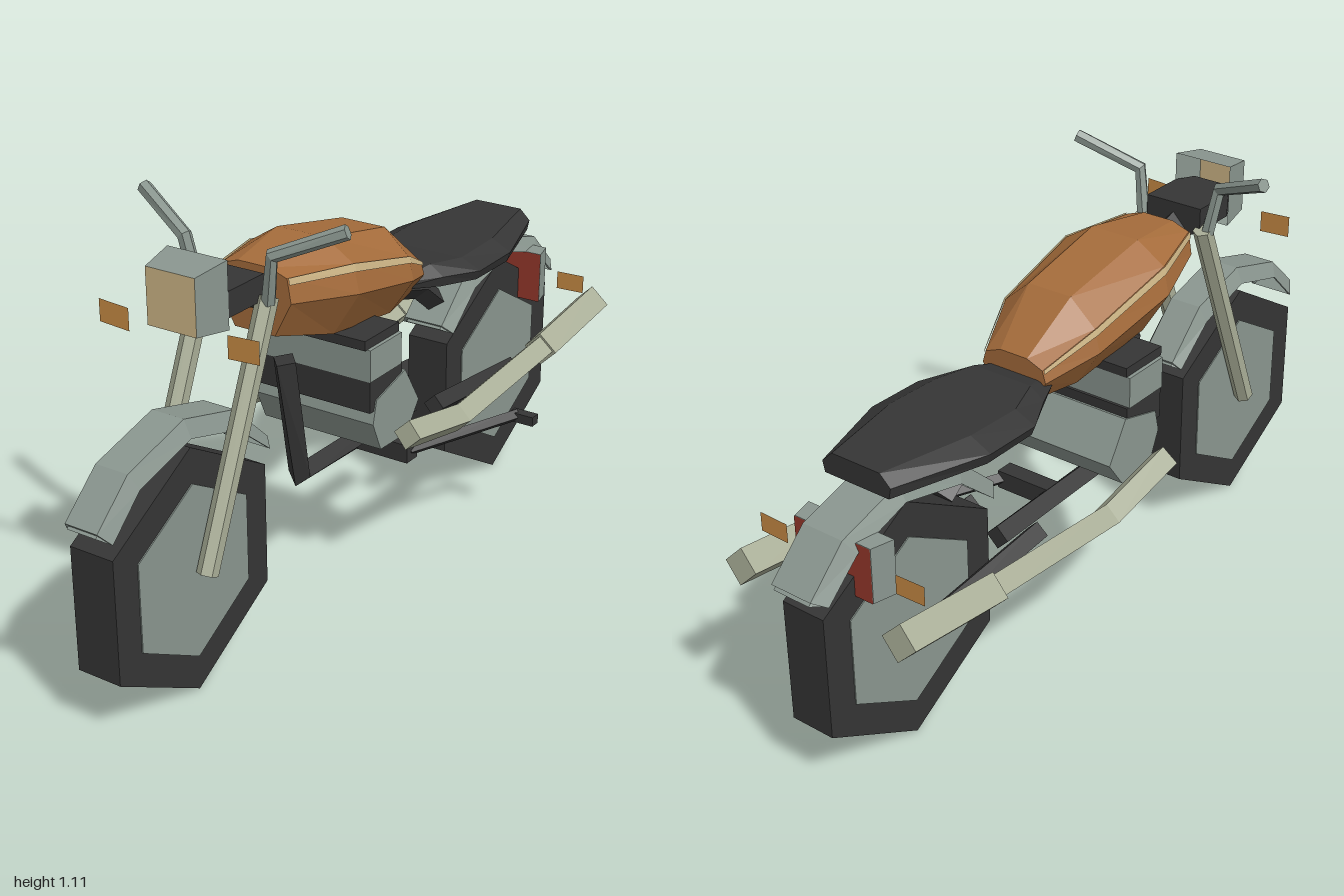
import * as THREE from 'three';

const mat = (name, color, side = THREE.FrontSide) => {
  const m = new THREE.MeshStandardMaterial({ color, side });
  m.name = name;
  return m;
};
const V = (x, y, z) => new THREE.Vector3(x, y, z);

// Faceted solid through a list of equal-length rings, with end caps, faces turned outward
function loft(rings) {
  const tris = [];
  const n = rings[0].length;
  for (let i = 0; i < rings.length - 1; i++) {
    for (let j = 0; j < n; j++) {
      const k = (j + 1) % n, a = rings[i], b = rings[i + 1];
      tris.push([a[j], a[k], b[k]], [a[j], b[k], b[j]]);
    }
  }
  // caps fanned as strips across the outline, so channel sections close correctly
  const last = rings[rings.length - 1];
  for (let lo = 0, hi = n - 1; hi - lo > 1;) {
    tris.push([rings[0][lo], rings[0][hi], rings[0][lo + 1]], [last[lo], last[lo + 1], last[hi]]);
    lo++;
    if (hi - lo > 1) {
      tris.push([rings[0][lo], rings[0][hi], rings[0][hi - 1]], [last[lo], last[hi - 1], last[hi]]);
      hi--;
    }
  }
  let volume = 0;
  for (const [a, b, c] of tris) volume += a.dot(V(0, 0, 0).crossVectors(b, c));
  const pos = [];
  for (const t of tris) for (const p of volume < 0 ? [t[0], t[2], t[1]] : t) pos.push(p.x, p.y, p.z);
  const g = new THREE.BufferGeometry();
  g.setAttribute('position', new THREE.Float32BufferAttribute(pos, 3));
  g.computeVertexNormals();
  return g;
}

// Bar with few sides along a path; side is an axis roughly across the path
function bar(points, radius, sides = 4, side = V(1, 0, 0)) {
  return loft(points.map((p, i) => {
    const t = points[Math.min(i + 1, points.length - 1)].clone().sub(points[Math.max(i - 1, 0)]).normalize();
    const u = V(0, 0, 0).crossVectors(t, side).normalize();
    const w = V(0, 0, 0).crossVectors(u, t);
    const r = Array.isArray(radius) ? radius[i] : radius;
    return Array.from({ length: sides }, (_, j) => {
      const a = (j / sides) * Math.PI * 2;
      return p.clone().addScaledVector(u, r * Math.cos(a)).addScaledVector(w, r * Math.sin(a));
    });
  }));
}

// Cross-section of half outline [x, y] mirrored about the centre plane
const section = (half, z) => [
  ...half.map(([x, y]) => V(x, y, z)),
  ...half.slice().reverse().map(([x, y]) => V(-x, y, z)),
];

// Flat quad faces from four corners each
function quads(list) {
  const g = new THREE.BufferGeometry();
  const pos = [];
  for (const [a, b, c, d] of list) for (const p of [a, b, c, a, c, d]) pos.push(p.x, p.y, p.z);
  g.setAttribute('position', new THREE.Float32BufferAttribute(pos, 3));
  g.computeVertexNormals();
  return g;
}

export function createModel() {
  const black = mat('black', 0x353535);
  const grey = mat('grey metal', 0x8a968f, THREE.DoubleSide);
  const pale = mat('pale metal', 0xa9ae97);
  const paint = mat('tank paint', 0xa56c3b);
  const tan = mat('tan', 0xd0b888, THREE.DoubleSide);
  const amber = mat('amber', 0xcb8d46, THREE.DoubleSide);
  const red = mat('red', 0x98382c);

  const model = new THREE.Group();
  model.name = 'motorcycle';
  model.position.x = -0.028;
  const add = (name, geometry, material, x = 0, y = 0, z = 0) => {
    const m = new THREE.Mesh(geometry, material);
    m.name = name;
    m.position.set(x, y, z);
    model.add(m);
    return m;
  };

  // Six-sided wheels with flush discs
  const hex = (r, w) => {
    const g = new THREE.CylinderGeometry(r, r, w, 6, 1, false, Math.PI / 2).rotateZ(Math.PI / 2).toNonIndexed();
    g.computeVertexNormals();
    return g;
  };
  for (const [name, z, r] of [['front', 0.695, 0.315], ['rear', -0.685, 0.322]]) {
    add(name + 'Tyre', hex(r, 0.12), black, 0, r, z);
    add(name + 'WheelDisc', hex(r * 0.715, 0.126), grey, 0, r, z);
  }

  // Fenders: bevelled strip, each row is outer z, y and inner z, y
  const fender = (rows, w, top) => loft(rows.map(([zo, yo, zi, yi]) => [
    V(-top, yo, zo), V(top, yo, zo), V(w, yi, zi),
    V(w * 0.9, yi, zi), V(top * 0.9, yo - 0.012, zo), V(-top * 0.9, yo - 0.012, zo),
    V(-w * 0.9, yi, zi), V(-w, yi, zi),
  ]));
  add('frontFender', fender([
    [0.995, 0.545, 0.968, 0.513], [0.888, 0.642, 0.872, 0.604], [0.695, 0.695, 0.695, 0.652],
    [0.513, 0.647, 0.524, 0.604], [0.39, 0.53, 0.406, 0.508]], 0.064, 0.045), grey);
  add('rearFender', fender([
    [-0.38, 0.545, -0.406, 0.519], [-0.503, 0.658, -0.519, 0.615], [-0.706, 0.7, -0.706, 0.66],
    [-0.888, 0.647, -0.866, 0.61], [-0.995, 0.545, -0.963, 0.524]], 0.08, 0.058), grey);

  // Fuel tank: z, top, shoulder, widest and bottom heights, half width
  const tankRows = [
    [0.37, 0.947, 0.93, 0.87, 0.78, 0.105], [0.18, 0.968, 0.918, 0.845, 0.727, 0.165],
    [-0.085, 0.914, 0.85, 0.79, 0.69, 0.15], [-0.225, 0.8, 0.782, 0.75, 0.69, 0.095]];
  add('fuelTank', loft(tankRows.map(([z, t, s, m, b, w]) =>
    section([[w * 0.42, t], [w * 0.9, s], [w, m], [w * 0.55, b]], z))), paint);
  const stripe = [];
  for (const s of [-1, 1]) {
    const edge = tankRows.map(([z, , y, m, , w]) => [
      V(s * (w * 0.9 + 0.004), y + 0.002, z),
      V(s * (w * 0.925 + 0.004), y + (m - y) * 0.25, z)]);
    for (let i = 0; i < 3; i++) stripe.push([edge[i][0], edge[i + 1][0], edge[i + 1][1], edge[i][1]]);
  }
  add('tankStripes', quads(stripe), tan);

  // Seat: z, top and bottom heights, top and bottom half widths
  add('seat', loft([
    [-0.15, 0.737, 0.725, 0.045, 0.07], [-0.27, 0.762, 0.708, 0.085, 0.125],
    [-0.37, 0.757, 0.706, 0.12, 0.177], [-0.53, 0.762, 0.706, 0.12, 0.177],
    [-0.775, 0.765, 0.708, 0.07, 0.1],
  ].map(([z, t, b, wt, wb]) => section([[wt, t], [wb, (t + b) / 2], [wb * 0.94, b]], z))), black);

  // Engine: stacked cylinder block over a six-sided crankcase
  add('cylinderCap', new THREE.BoxGeometry(0.33, 0.025, 0.15), black, 0, 0.703, 0.08);
  add('cylinderHead', new THREE.BoxGeometry(0.35, 0.084, 0.14), grey, 0, 0.649, 0.077);
  add('cylinderBase', new THREE.BoxGeometry(0.345, 0.085, 0.145), black, 0, 0.566, 0.072);
  const caseOutline = [[0.12, 0.55], [-0.01, 0.585], [-0.075, 0.48], [-0.02, 0.406], [0.1, 0.41], [0.135, 0.49]];
  add('crankcase', loft([-0.176, 0.176].map((x) => caseOutline.map(([z, y]) => V(x, y, z)))), grey);

  // Frame
  add('frameCradle', bar([V(0, 0.665, 0.255), V(0, 0.335, 0.2), V(0, 0.322, -0.3)], 0.033), black);
  add('seatTube', bar([V(0, 0.71, -0.16), V(0, 0.655, -0.35), V(0, 0.54, -0.5)], 0.033), black);
  add('steeringNeck', bar([V(0, 0.905, 0.46), V(0, 0.855, 0.3)], 0.036), black);

  // Headlight: open flared shell, lens and dark body behind it
  const rim = (w, y0, y1, z) => [V(-w, y0, z), V(w, y0, z), V(w, y1, z), V(-w, y1, z)];
  const front = rim(0.068, 0.883, 1.021, 0.668);
  const back = rim(0.083, 0.872, 1.036, 0.572);
  add('headlightShell', quads(front.map((p, i) => [back[i], back[(i + 1) % 4], front[(i + 1) % 4], p])), grey);
  add('headlightLens', quads([front]), tan);
  add('headlightBody', loft([[0.62, 0.055], [0.57, 0.082], [0.44, 0.082]].map(([z, w]) =>
    section([[w, 0.963], [w, 0.9], [w * 0.6, 0.882]], z))), black);

  // Stand lever on the left side
  add('leverPivot', new THREE.BoxGeometry(0.165, 0.05, 0.05), black, 0.08, 0.33, -0.07);
  add('leverRod', bar([V(0.15, 0.33, -0.07), V(0.285, 0.335, -0.4)], 0.017), black);
  add('leverFoot', new THREE.BoxGeometry(0.07, 0.026, 0.03), black, 0.305, 0.333, -0.4);

  // Tail bracket with red faces front and back
  const tail = (z, w) => [V(-w, 0.49, z), V(w, 0.49, z), V(w, 0.632, z), V(-w, 0.632, z)];
  add('tailBracket', loft([tail(-0.8, 0.127), tail(-0.86, 0.112)]), grey);
  add('tailLightBack', quads([tail(-0.862, 0.112).reverse()]), red);
  add('tailLightFront', quads([tail(-0.798, 0.127)]), red);

  // Paired parts
  for (const s of [-1, 1]) {
    const side = s > 0 ? 'left' : 'right';
    add(side + 'Fork', bar([V(s * 0.091, 0.91, 0.44), V(s * 0.091, 0.315, 0.69)], 0.026, 6), pale);
    add(side + 'Handlebar', bar([V(s * 0.1, 0.9, 0.45), V(s * 0.122, 1.02, 0.463), V(s * 0.284, 1.09, 0.405)],
      0.018, 6, V(0, 0, 1)), grey);
    add(side + 'Exhaust', bar([V(s * 0.237, 0.455, 0.075), V(s * 0.237, 0.406, -0.17), V(s * 0.237, 0.44, -0.61)],
      0.038), pale);
    add(side + 'Muffler', bar([V(s * 0.237, 0.438, -0.61), V(s * 0.237, 0.476, -0.92)], 0.048), pale);
    add(side + 'SwingArm', bar([V(s * 0.104, 0.365, -0.27), V(s * 0.104, 0.325, -0.685)], 0.03), black);

    // Turn signals: thin slanted plates
    const plate = (xi, xo, yi, yo, h, z) => quads([[
      V(s * xi, yi, z), V(s * xo, yo, z), V(s * xo, yo + h, z), V(s * xi, yi + h, z)]]);
    add(side + 'FrontSignal', plate(0.138, 0.223, 0.845, 0.85, 0.056, 0.65), amber);
    add(side + 'RearSignal', plate(0.162, 0.244, 0.527, 0.529, 0.05, -0.84), amber);
  }
  return model;
}
